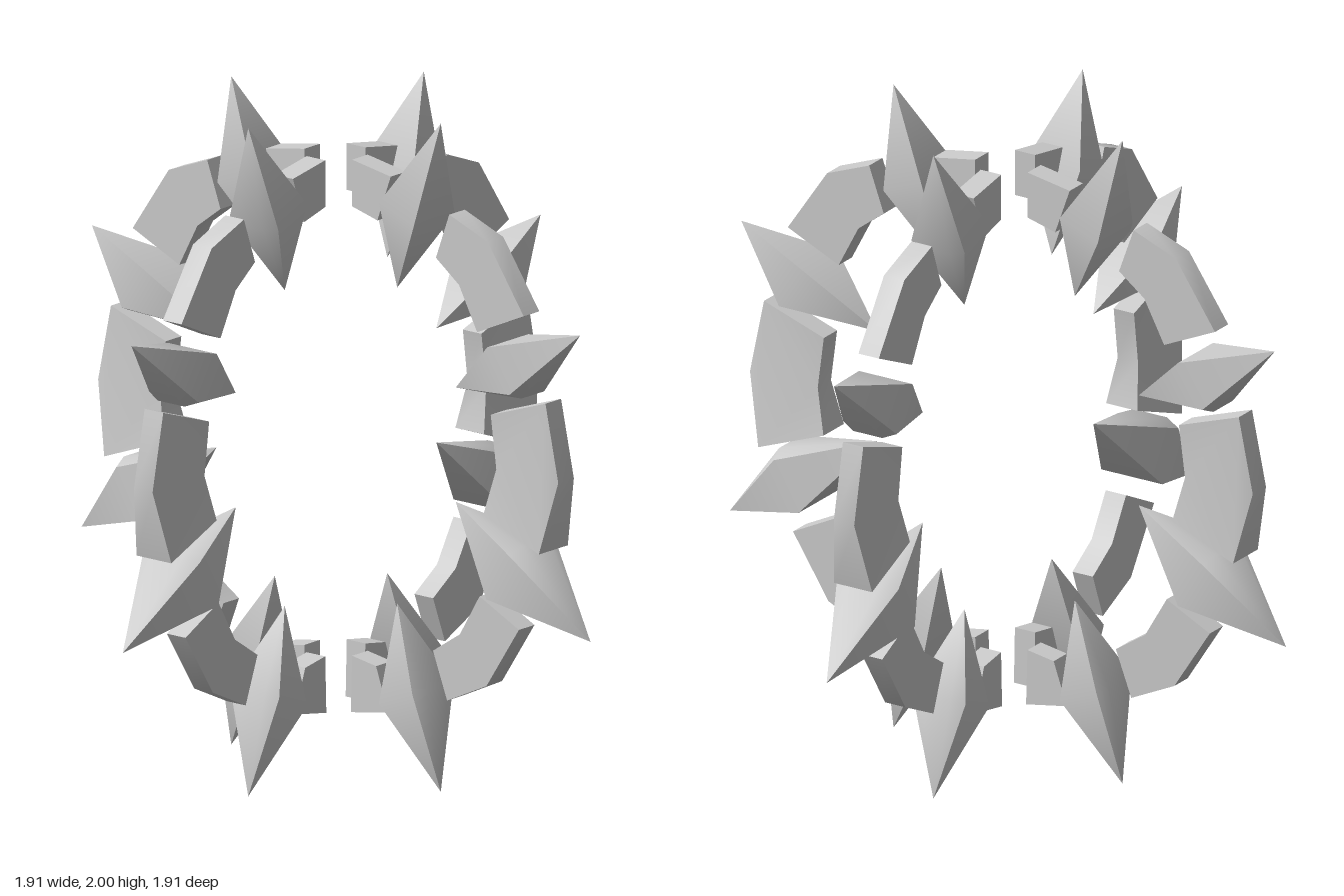
import * as THREE from 'three';
import { toCreasedNormals } from 'three/addons/utils/BufferGeometryUtils.js';
import { ConvexGeometry } from 'three/addons/geometries/ConvexGeometry.js';

const material = new THREE.MeshStandardMaterial({ color: 0xcccccc });

// Flat link: an outline in the arm's plane, given thickness; flare widens its lower end.
function linkGeometry(points, flare = 0) {
  const shape = new THREE.Shape(points.map(([x, y]) => new THREE.Vector2(x, y)));
  const geo = new THREE.ExtrudeGeometry(shape, { depth: 0.07, bevelEnabled: false });
  geo.translate(0, 0, -0.035);
  const pos = geo.attributes.position;
  for (let i = 0; i < pos.count; i++) {
    const drop = Math.max(0, 1.016 - pos.getY(i));
    pos.setZ(i, pos.getZ(i) * (1 + flare * drop));
  }
  return toCreasedNormals(geo, 0.8);
}

// Spike: two points joined by a wide middle section with one bevelled side.
function spikeGeometry({ tip, root, plain, bevel, width }) {
  const at = (s, z) => new THREE.Vector3(
    THREE.MathUtils.lerp(plain[0], bevel[0], s), THREE.MathUtils.lerp(plain[1], bevel[1], s), z);
  const points = [new THREE.Vector3(...tip, 0), new THREE.Vector3(...root, 0)];
  for (const side of [-1, 1]) {
    points.push(at(0, side * width), at(0.88, side * width), at(1, side * width * 0.55));
  }
  return toCreasedNormals(new ConvexGeometry(points), 0.9);
}

const links = {
  topLink: linkGeometry([[0.09, 1.705], [0.185, 1.68], [0.235, 1.82], [0.09, 1.845]]),
  upperLink: linkGeometry([[0.455, 1.746], [0.405, 1.608], [0.492, 1.542],
    [0.56, 1.413], [0.735, 1.492], [0.6, 1.69]]),
  middleLink: linkGeometry([[0.817, 1.245], [0.611, 1.175], [0.632, 1.016],
    [0.6, 0.88], [0.817, 0.8], [0.865, 1.016]], 4),
  lowerLink: linkGeometry([[0.569, 0.624], [0.495, 0.497], [0.394, 0.43],
    [0.447, 0.29], [0.595, 0.36], [0.717, 0.55]]),
  bottomLink: linkGeometry([[0.09, 0.36], [0.085, 0.19], [0.225, 0.215], [0.18, 0.345]]),
};

const spikes = {
  topSpike: spikeGeometry({ tip: [0.394, 2], root: [0.23, 1.48],
    plain: [0.238, 1.755], bevel: [0.387, 1.7], width: 0.092 }),
  upperSpike: spikeGeometry({ tip: [0.918, 1.46], root: [0.45, 1.22],
    plain: [0.645, 1.395], bevel: [0.74, 1.25], width: 0.092 }),
  lowerSpike: spikeGeometry({ tip: [0.957, 0.55], root: [0.45, 0.878],
    plain: [0.653, 0.645], bevel: [0.75, 0.81], width: 0.105 }),
  bottomSpike: spikeGeometry({ tip: [0.394, 0], root: [0.23, 0.534],
    plain: [0.238, 0.255], bevel: [0.382, 0.31], width: 0.092 }),
};

// One curved arm of links and spikes lying in the x-y plane.
function createArm() {
  const arm = new THREE.Group();
  arm.name = 'arm';
  for (const [name, geometry] of Object.entries({ ...links, ...spikes })) {
    const mesh = new THREE.Mesh(geometry, material);
    mesh.name = name;
    arm.add(mesh);
  }
  return arm;
}

export function createModel() {
  const model = new THREE.Group();
  model.name = 'spikedCage';
  // Four arms around the vertical axis
  for (let i = 0; i < 4; i++) {
    const arm = createArm();
    arm.rotation.y = i * Math.PI / 2;
    model.add(arm);
  }
  return model;
}
